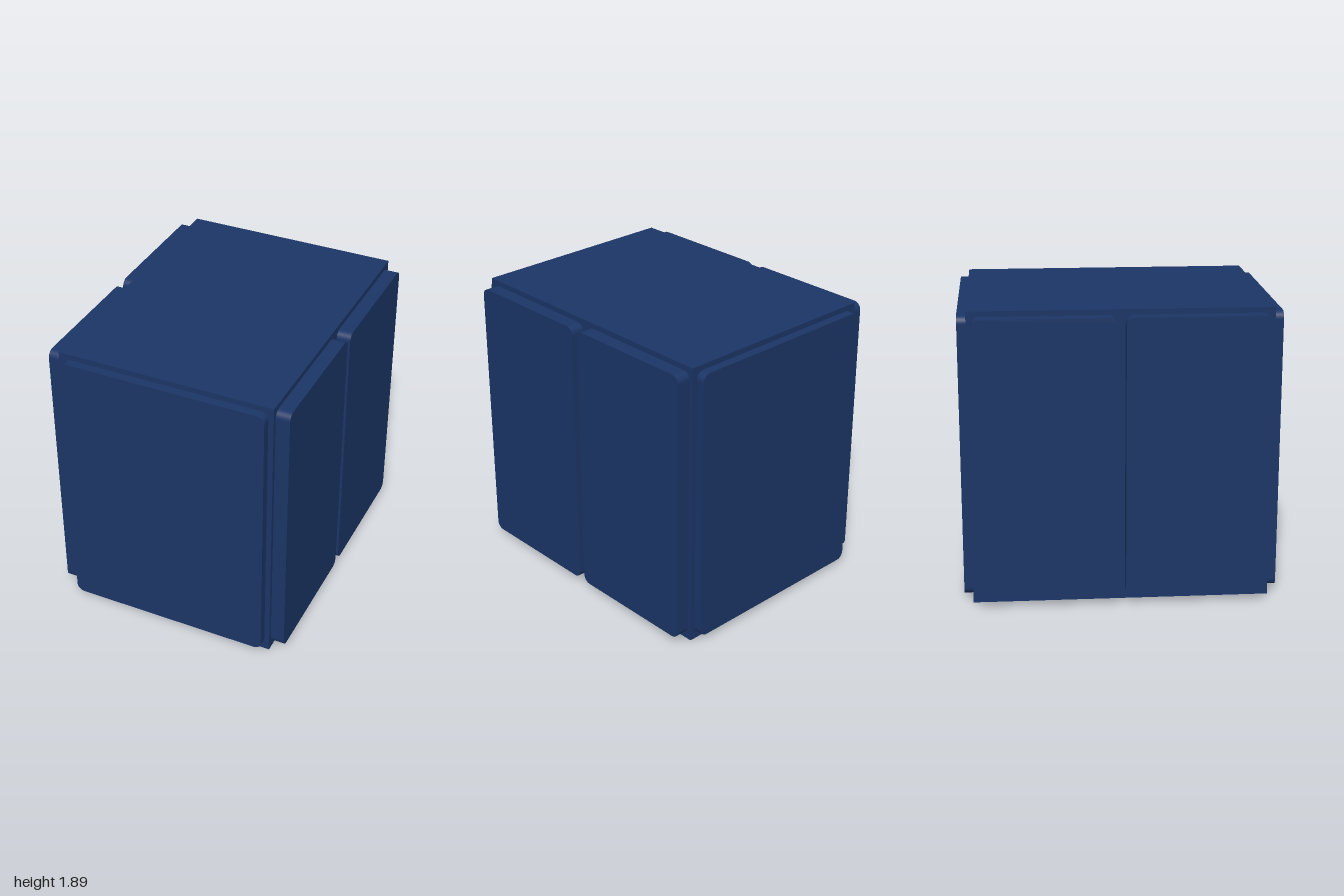
import * as THREE from 'three';

const HEIGHT = 1.886, HALF_W = 0.705, HALF_D = 0.943;
const material = new THREE.MeshStandardMaterial({ color: 0x1b3566 });

// Flat plate with rounded corners, growing along +z from its base plane
function panelGeometry(w, h, depth, r) {
  const x = w / 2, y = h / 2, s = new THREE.Shape();
  s.moveTo(-x + r, -y);
  s.lineTo(x - r, -y);
  s.absarc(x - r, -y + r, r, -Math.PI / 2, 0);
  s.lineTo(x, y - r);
  s.absarc(x - r, y - r, r, 0, Math.PI / 2);
  s.lineTo(-x + r, y);
  s.absarc(-x + r, y - r, r, Math.PI / 2, Math.PI);
  s.lineTo(-x, -y + r);
  s.absarc(-x + r, -y + r, r, Math.PI, Math.PI * 1.5);
  return new THREE.ExtrudeGeometry(s, { depth, bevelEnabled: false, curveSegments: 8 });
}

export function createModel() {
  const group = new THREE.Group();
  const add = (name, geometry, x, y, z, turn = 0) => {
    const mesh = new THREE.Mesh(geometry, material);
    mesh.name = name;
    mesh.position.set(x, y, z);
    mesh.rotation.y = turn;
    group.add(mesh);
  };

  // Main block
  add('body', new THREE.BoxGeometry(HALF_W * 2, HEIGHT, HALF_D * 2), 0, HEIGHT / 2, 0);

  // One wide panel on the front and back
  const wide = panelGeometry(1.342, 1.812, 1 - HALF_D, 0.05);
  const midY = 0.945;
  add('frontPanel', wide, 0, midY, HALF_D);
  add('backPanel', wide, 0, midY, -HALF_D, Math.PI);

  // Two narrower, thicker panels on each side
  const narrow = panelGeometry(0.895, 1.812, 0.795 - HALF_W, 0.05);
  for (const [side, sx] of [['left', 1], ['right', -1]]) {
    for (const [end, sz] of [['Front', 1], ['Back', -1]]) {
      add(side + end + 'Panel', narrow, sx * HALF_W, midY, sz * 0.47, sx * Math.PI / 2);
    }
  }
  return group;
}
